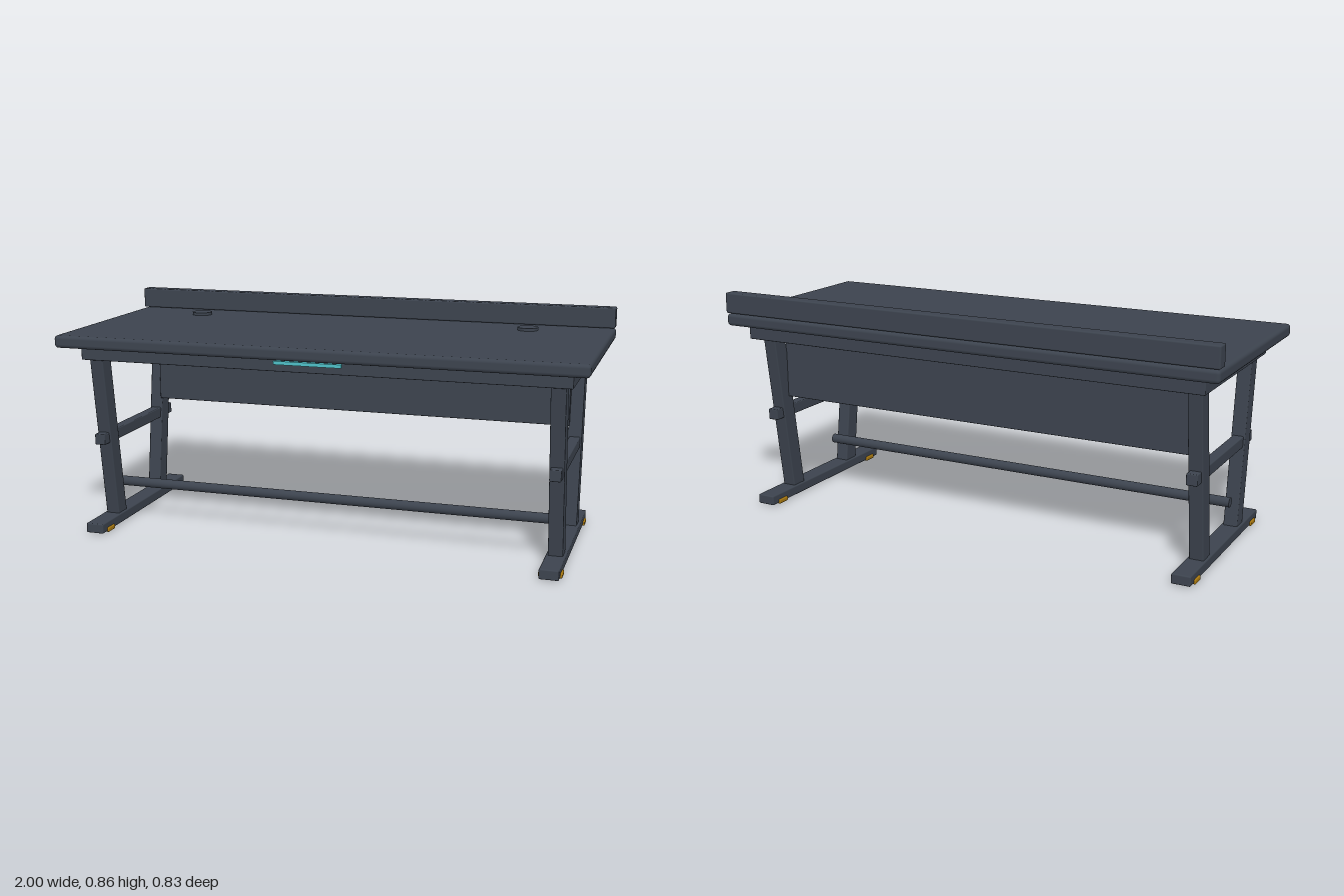
import * as THREE from 'three';
import { RoundedBoxGeometry } from 'three/addons/geometries/RoundedBoxGeometry.js';

export function createModel() {
  const model = new THREE.Group();
  model.name = 'workDesk';

  const mat = (name, color) => {
    const m = new THREE.MeshStandardMaterial({ color });
    m.name = name;
    return m;
  };
  const slate = mat('slate', 0x3c434e);
  const brass = mat('brass', 0xa87810);
  const cyan = mat('cyan', 0x4fc0c8);

  const add = (name, geometry, material = slate) => {
    const mesh = new THREE.Mesh(geometry, material);
    mesh.name = name;
    model.add(mesh);
    return mesh;
  };
  // softly bevelled box given by its lower and upper limits on each axis
  const block = (x0, x1, y0, y1, z0, z1, bevel = 0.005) =>
    new RoundedBoxGeometry(x1 - x0, y1 - y0, z1 - z0, 2, bevel)
      .translate((x0 + x1) / 2, (y0 + y1) / 2, (z0 + z1) / 2);

  // worktop, back ledge and the apron beneath
  add('worktop', block(-1, 1, 0.734, 0.782, -0.417, 0.417, 0.014));
  add('backLedge', block(-1, 1, 0.784, 0.864, -0.417, -0.364, 0.006));
  add('apron', block(-0.935, 0.935, 0.677, 0.735, -0.361, 0.327, 0.004));
  add('modestyPanel', block(-0.86, 0.86, 0.424, 0.682, -0.235, -0.2, 0.003));

  // light strip under the front edge
  add('lightStrip', new THREE.BoxGeometry(0.256, 0.013, 0.014).translate(0, 0.7235, 0.393), cyan);

  // foot bar between the two side frames
  add('footBar', new THREE.CylinderGeometry(0.019, 0.019, 1.78, 24).rotateZ(Math.PI / 2).translate(0, 0.147, 0.119));

  for (const side of [-1, 1]) {
    const label = side > 0 ? 'left' : 'right';
    const x = side * 0.882;

    // cable cap on the worktop
    add(label + 'CableCap', new THREE.CylinderGeometry(0.04, 0.04, 0.014, 32).translate(side * 0.68, 0.786, -0.25));

    // side frame: foot, cross rail and two slanted legs
    add(label + 'Foot', block(x - 0.036, x + 0.036, 0.003, 0.041, -0.38, 0.38));
    add(label + 'CrossRail', block(x - 0.021, x + 0.021, 0.34, 0.383, -0.308, 0.308, 0.004));

    for (const end of [-1, 1]) {
      const place = label + (end > 0 ? 'Front' : 'Back');
      const slant = end * 0.136;
      const leg = new RoundedBoxGeometry(0.054, 0.66, 0.069, 2, 0.005);
      leg.applyMatrix4(new THREE.Matrix4().set(
        1, 0, 0, x,
        0, 1, 0, 0.359,
        0, slant, 1, end * 0.233,
        0, 0, 0, 1));
      add(place + 'Leg', leg);

      // levelling pad under the foot
      add(place + 'Pad', new RoundedBoxGeometry(0.086, 0.018, 0.054, 2, 0.005).translate(x, 0.009, end * 0.318), brass);
    }
  }
  return model;
}
